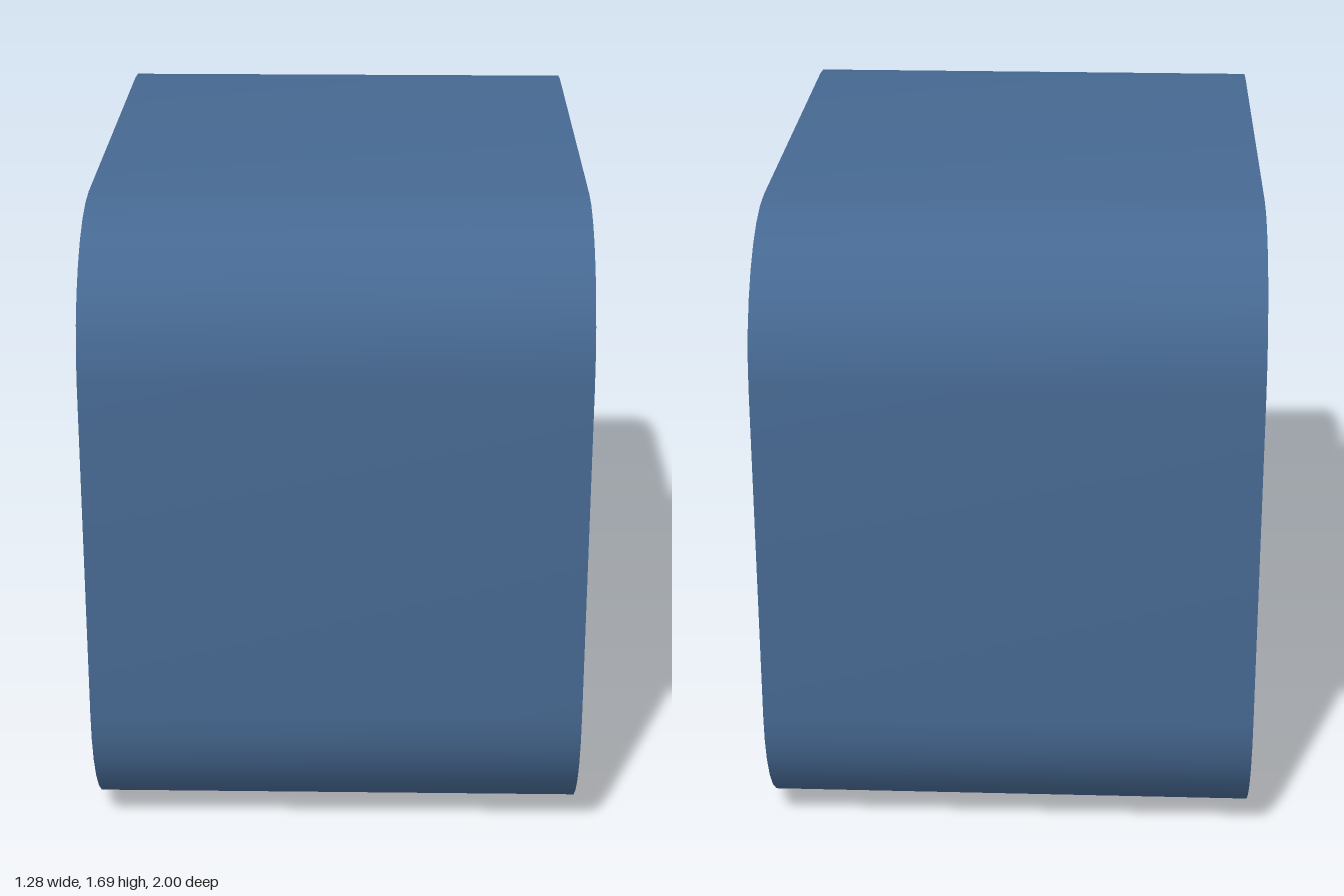
import * as THREE from 'three';
import { toCreasedNormals } from 'three/addons/utils/BufferGeometryUtils.js';

const MID_Y = 0.845;   // height of the case centre
const FRONT_X = 0.64;  // case runs from -FRONT_X to FRONT_X, dial side at +x
const DIAL_X = 0.455;  // floor of the recess
const HUB_Y = 0.885;

// Rounded rectangle as counter-clockwise points, four facets per corner
function roundedRect(halfW, halfH, r) {
  const s = new THREE.Shape();
  const cx = halfW - r, cy = halfH - r;
  [[1, 1], [-1, 1], [-1, -1], [1, -1]].forEach(([sx, sy], i) => {
    s.absarc(sx * cx, MID_Y + sy * cy, r, i * Math.PI / 2, (i + 1) * Math.PI / 2, false);
  });
  const pts = [];
  for (const p of s.getPoints(4)) {
    if (!pts.length || pts[pts.length - 1].distanceTo(p) > 1e-5) pts.push(p);
  }
  if (pts[0].distanceTo(pts[pts.length - 1]) < 1e-5) pts.pop();
  return pts;
}

// Skin joining successive closed loops, each given as { x, pts }
function skin(loops) {
  const pos = [], idx = [], n = loops[0].pts.length;
  for (const { x, pts } of loops) for (const p of pts) pos.push(x, p.y, -p.x);
  for (let i = 0; i < loops.length - 1; i++) {
    for (let j = 0; j < n; j++) {
      const a = i * n + j, b = i * n + (j + 1) % n;
      idx.push(a, b, a + n, b, b + n, a + n);
    }
  }
  const g = new THREE.BufferGeometry();
  g.setAttribute('position', new THREE.Float32BufferAttribute(pos, 3));
  g.setIndex(idx);
  return toCreasedNormals(g, 0.7);
}

export function createModel() {
  const group = new THREE.Group();
  const blue = new THREE.MeshStandardMaterial({ color: 0x466891 });
  const grey = new THREE.MeshStandardMaterial({ color: 0xcccccc });
  const dark = new THREE.MeshStandardMaterial({ color: 0x6f6f6f });
  const add = (name, geometry, material) => {
    const mesh = new THREE.Mesh(geometry, material);
    mesh.name = name;
    group.add(mesh);
    return mesh;
  };

  const outer = roundedRect(1, MID_Y, 0.385);
  const inner = roundedRect(0.87, MID_Y - 0.13, 0.265);

  // Case: outer wall, front rim and recess wall
  add('case', skin([
    { x: -FRONT_X, pts: outer },
    { x: FRONT_X, pts: outer },
    { x: FRONT_X, pts: inner },
    { x: DIAL_X, pts: inner },
  ]), blue);

  // Flat panels closing the back and the recess
  const back = new THREE.ShapeGeometry(new THREE.Shape(outer)).rotateY(-Math.PI / 2);
  add('backPanel', back, blue).position.x = -FRONT_X;
  const dial = new THREE.ShapeGeometry(new THREE.Shape(inner)).rotateY(Math.PI / 2);
  add('dial', dial, grey).position.x = DIAL_X;

  // Hub standing on the dial
  const hubLength = 0.165;
  const hub = new THREE.CylinderGeometry(0.113, 0.113, hubLength, 32).rotateZ(-Math.PI / 2);
  add('hub', hub, dark).position.set(DIAL_X + hubLength / 2, HUB_Y, 0);

  // Hands: bars starting at the hub centre, turned about the x axis
  const hands = [['hourHand', 0.51, Math.PI], ['minuteHand', 0.675, -1.094]];
  for (const [name, length, angle] of hands) {
    const bar = new THREE.BoxGeometry(0.1, length, 0.156).translate(0, length / 2, 0);
    const hand = add(name, bar, dark);
    hand.position.set(0.535, HUB_Y, 0);
    hand.rotation.x = angle;
  }
  return group;
}
